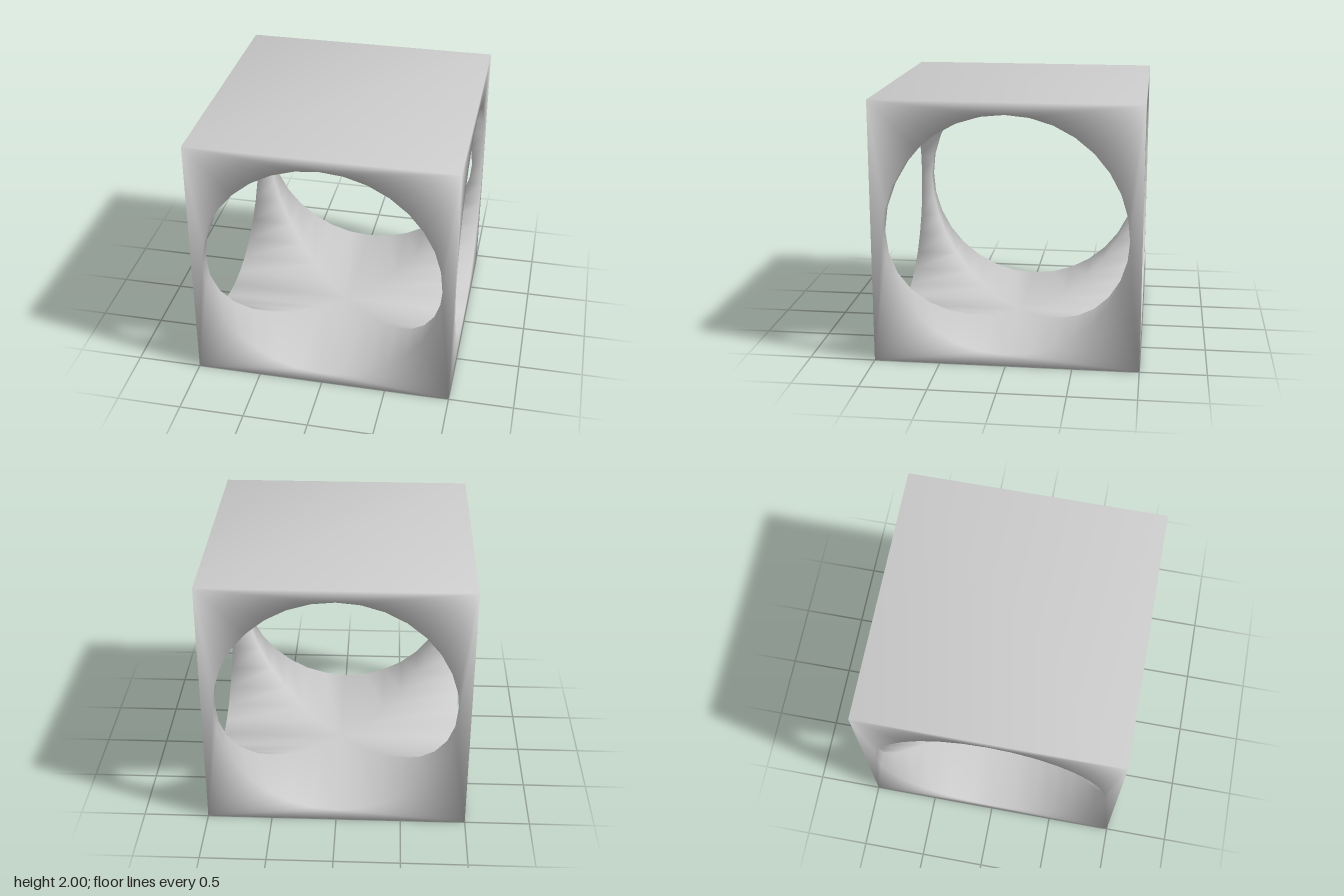
import * as THREE from 'three';
import { mergeVertices, mergeGeometries } from 'three/addons/utils/BufferGeometryUtils.js';

const SIDES = 32;      // segments round each bore
const RADIUS = 0.91;   // bore radius
const QUARTER = SIDES / 4;

// One side of the cube: pierced front wall plus its arm of the groined vault.
function sidePanel() {
  const pos = [];
  const tri = (...points) => points.forEach((p) => pos.push(...p));
  const rim = (i, inner) => {
    const a = (i / SIDES) * Math.PI * 2;
    const x = RADIUS * Math.cos(a), y = RADIUS * Math.sin(a);
    // the inner end meets the crossing bore where |z| = |x|
    return [x, y, inner ? Math.abs(x) : 1];
  };
  const corner = (q) => {
    const a = (q + 0.5) * Math.PI / 2;
    return [Math.sign(Math.cos(a)), Math.sign(Math.sin(a)), 1];
  };

  for (let i = 0; i < SIDES; i++) {
    const q = Math.floor(i / QUARTER);
    const o0 = rim(i), o1 = rim(i + 1);
    const n0 = rim(i, true), n1 = rim(i + 1, true);
    tri(o0, corner(q), o1);                                      // corner fan
    if (i % QUARTER === 0) tri(o0, corner(q - 1), corner(q));    // edge middle
    tri(o0, o1, n0);                                             // bore wall
    tri(o1, n1, n0);
  }
  const g = new THREE.BufferGeometry();
  g.setAttribute('position', new THREE.Float32BufferAttribute(pos, 3));
  return g;
}

// Solid square cap: top (+1) or bottom (-1).
function cap(side) {
  const g = new THREE.PlaneGeometry(2, 2).toNonIndexed();
  g.deleteAttribute('normal');
  g.deleteAttribute('uv');
  return g.rotateX(-side * Math.PI / 2).translate(0, side, 0);
}

export function createModel() {
  const group = new THREE.Group();
  group.name = 'boredCube';

  const parts = [cap(1), cap(-1)];
  for (let k = 0; k < 4; k++) parts.push(sidePanel().rotateY(k * Math.PI / 2));

  // weld everything so the normals flow smoothly over the edges
  const geometry = mergeVertices(mergeGeometries(parts), 1e-4);
  geometry.computeVertexNormals();

  const cube = new THREE.Mesh(geometry, new THREE.MeshStandardMaterial({ color: 0xcccccc }));
  cube.name = 'cubeWithCrossedBores';
  cube.position.y = 1;
  group.add(cube);
  return group;
}
